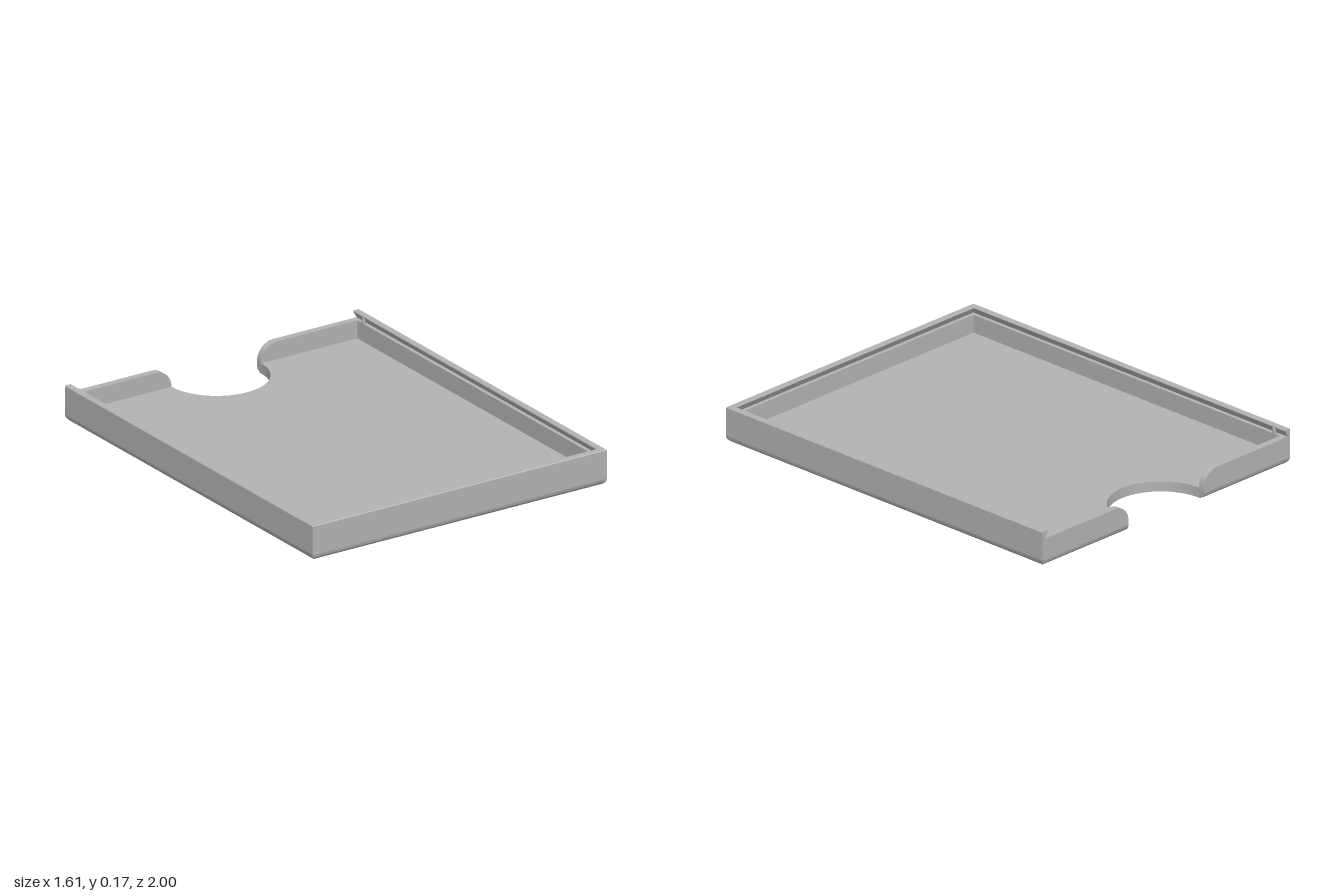
import * as THREE from 'three';
import { toCreasedNormals } from 'three/addons/utils/BufferGeometryUtils.js';

const X = 0.805, Z = 1, H = 0.175;   // half width, half length, height
const W = 0.034;                     // wall thickness and bottom edge radius
const FLOOR = 0.05, LEDGE = 0.138;   // floor top, underside of the lid slot
const NOTCH = 0.245;                 // thumb notch radius

// Sweep a counter-clockwise profile of (inset, y) along stations [x, z, inwardX, inwardZ]
function sweep(profile, stations) {
  const n = profile.length, pos = [], idx = [];
  for (const [x, z, ix, iz] of stations)
    for (const p of profile) pos.push(x + ix * p.x, p.y, z + iz * p.x);
  for (let s = 0; s < stations.length - 1; s++)
    for (let i = 0; i < n; i++) {
      const a = s * n + i, b = s * n + (i + 1) % n;
      idx.push(a, b, a + n, b, b + n, a + n);
    }
  const last = (stations.length - 1) * n;
  for (const [a, b, c] of THREE.ShapeUtils.triangulateShape(profile, []))
    idx.push(a, c, b, last + a, last + b, last + c);
  const g = new THREE.BufferGeometry();
  g.setAttribute('position', new THREE.Float32BufferAttribute(pos, 3));
  g.setIndex(idx);
  return toCreasedNormals(g, 0.5);
}

export function createModel() {
  const group = new THREE.Group();
  const grey = new THREE.MeshStandardMaterial({ color: 0xb2b2b2 });
  grey.name = 'grey plastic';
  const add = (name, geometry) => {
    const m = new THREE.Mesh(geometry, grey);
    m.name = name;
    group.add(m);
    return m;
  };
  const V = (x, y) => new THREE.Vector2(x, y);

  // Floor with the round thumb notch
  const plan = new THREE.Shape();
  plan.moveTo(-X + W, -Z + W);
  plan.lineTo(-NOTCH, -Z + W);
  plan.absarc(0, -Z + W, NOTCH, Math.PI, 0, true);
  plan.lineTo(X - W, -Z + W);
  plan.lineTo(X - W, Z - W);
  plan.lineTo(-X + W, Z - W);
  const floor = new THREE.ExtrudeGeometry(plan, { depth: FLOOR, bevelEnabled: false, curveSegments: 48 });
  floor.rotateX(Math.PI / 2).translate(0, FLOOR, 0);
  add('floor', toCreasedNormals(floor, 0.5));

  // Rounded bottom edge, running all round from one side of the notch to the other
  const edge = [V(W, 0), V(W, W)];
  for (let i = 0; i < 8; i++) {
    const a = Math.PI * (1 + i / 16);
    edge.push(V(W + W * Math.cos(a), W + W * Math.sin(a)));
  }
  add('bottomEdge', sweep(edge, [
    [-NOTCH, -Z, 0, 1], [-X, -Z, 1, 1], [-X, Z, 1, -1],
    [X, Z, -1, -1], [X, -Z, -1, 1], [NOTCH, -Z, 0, 1],
  ]));

  // Side and front walls with an undercut slot for a sliding lid, open at the back
  const wall = [V(0, W), V(W, W), V(W, LEDGE), V(0.015, LEDGE), V(W, H - 0.004), V(W - 0.003, H),
    V(0.004, H), V(0, H - 0.004)];
  add('slottedWalls', sweep(wall, [
    [-X, -Z, 1, 0], [-X, Z, 1, -1], [X, Z, -1, -1], [X, -Z, -1, 0],
  ]));

  for (const s of [1, -1]) {
    const side = s > 0 ? 'left' : 'right';

    // Low back wall, rounded down to the floor at the notch
    const r = LEDGE - FLOOR;
    const pts = [V(s * NOTCH, W), V(s * (X - W), W), V(s * (X - W), LEDGE)];
    for (let i = 0; i <= 12; i++) {
      const a = Math.PI / 2 * (1 + i / 12);
      pts.push(V(s * (NOTCH + r + r * Math.cos(a)), FLOOR + r * Math.sin(a)));
    }
    const back = new THREE.ExtrudeGeometry(new THREE.Shape(pts), { depth: W, bevelEnabled: false });
    back.translate(0, 0, -Z);
    add(side + 'BackWall', toCreasedNormals(back, 0.5));

    // Small lid catch in the slot
    add(side + 'LidCatch', new THREE.CylinderGeometry(0.01, 0.01, H - LEDGE, 16))
      .position.set(s * 0.778, (H + LEDGE) / 2, -0.925);
  }
  return group;
}
